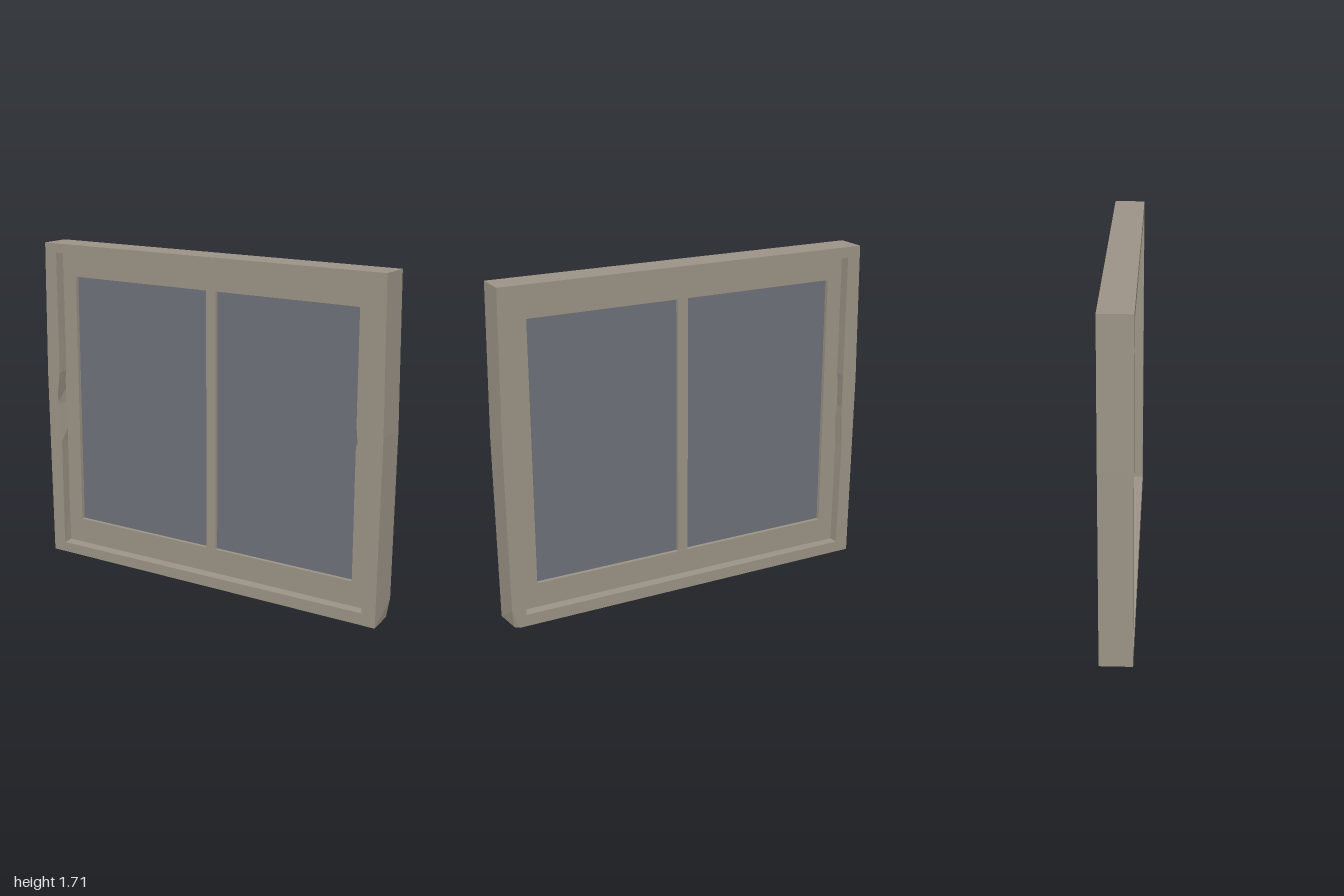
import * as THREE from 'three';

// Flat plate cut from an outline with holes, centred on z = 0; dents move single corners
function plate(outline, holes, depth, dents = []) {
  const toPoints = (list) => list.map(([x, y]) => new THREE.Vector2(x, y));
  const shape = new THREE.Shape(toPoints(outline));
  for (const hole of holes) shape.holes.push(new THREE.Path(toPoints(hole)));
  const geo = new THREE.ExtrudeGeometry(shape, { depth, bevelEnabled: false });
  geo.translate(0, 0, -depth / 2);
  const pos = geo.attributes.position;
  for (const { at, side, move } of dents) {
    for (let i = 0; i < pos.count; i++) {
      const hit = Math.hypot(pos.getX(i) - at[0], pos.getY(i) - at[1]) < 0.001;
      if (hit && pos.getZ(i) * side > 0) {
        pos.setXYZ(i, pos.getX(i) + move[0], pos.getY(i) + move[1], pos.getZ(i) + move[2]);
      }
    }
  }
  geo.computeVertexNormals();
  return geo;
}

export function createModel() {
  const group = new THREE.Group();
  const wood = new THREE.MeshStandardMaterial({ color: 0x9a9285, flatShading: true });
  wood.name = 'weathered wood';
  const pane = new THREE.MeshStandardMaterial({ color: 0x6d7079 });
  pane.name = 'grey glass';

  const add = (name, geo, material, x = 0, y = 0, z = 0) => {
    const mesh = new THREE.Mesh(geo, material);
    mesh.name = name;
    mesh.position.set(x, y, z);
    group.add(mesh);
  };

  // Outer frame: slightly bowed sides, a nick on the inner edge and a chipped back corner
  const outer = [
    [-0.99, 0], [0.95, 0], [0.987, 0], [0.988, 0.1], [0.997, 0.95],
    [0.987, 1.71], [-0.99, 1.71], [-1, 1.0],
  ];
  const inner = [
    [-0.918, 0.06], [-0.918, 0.63], [-0.918, 0.84], [-0.918, 1.02],
    [-0.918, 1.655], [0.914, 1.652], [0.914, 0.062],
  ];
  add('outerFrame', plate(outer, [inner], 0.16, [
    { at: [-0.918, 0.84], side: 1, move: [-0.027, 0, 0] },
    { at: [-0.918, 0.63], side: -1, move: [-0.01, 0, 0] },
    { at: [0.987, 0], side: -1, move: [-0.012, 0.004, 0.012] },
    { at: [-0.918, 0.06], side: 1, move: [0, -0.007, 0] },
    { at: [-0.918, 1.655], side: 1, move: [0, 0.007, 0] },
  ]), wood);

  // Recessed sash with one large opening, nicked on its left side
  const sash = [[-0.925, 0.05], [0.92, 0.05], [0.92, 1.665], [-0.925, 1.665]];
  const opening = [
    [-0.835, 0.19], [-0.835, 1.535], [0.83, 1.535],
    [0.83, 0.97], [0.83, 0.91], [0.83, 0.87], [0.83, 0.19],
  ];
  add('sash', plate(sash, [opening], 0.05, [
    { at: [0.83, 0.91], side: 1, move: [0.02, 0, 0] },
  ]), wood);

  // Centre bar dividing the two panes
  add('mullion', new THREE.BoxGeometry(0.055, 1.355, 0.046), wood, 0.0125, 0.8625, 0);

  // Panes
  for (const [name, x0, x1] of [['rightPane', -0.845, -0.01], ['leftPane', 0.035, 0.855]]) {
    add(name, new THREE.BoxGeometry(x1 - x0, 1.365, 0.009), pane, (x0 + x1) / 2, 0.8625, 0);
  }

  return group;
}
